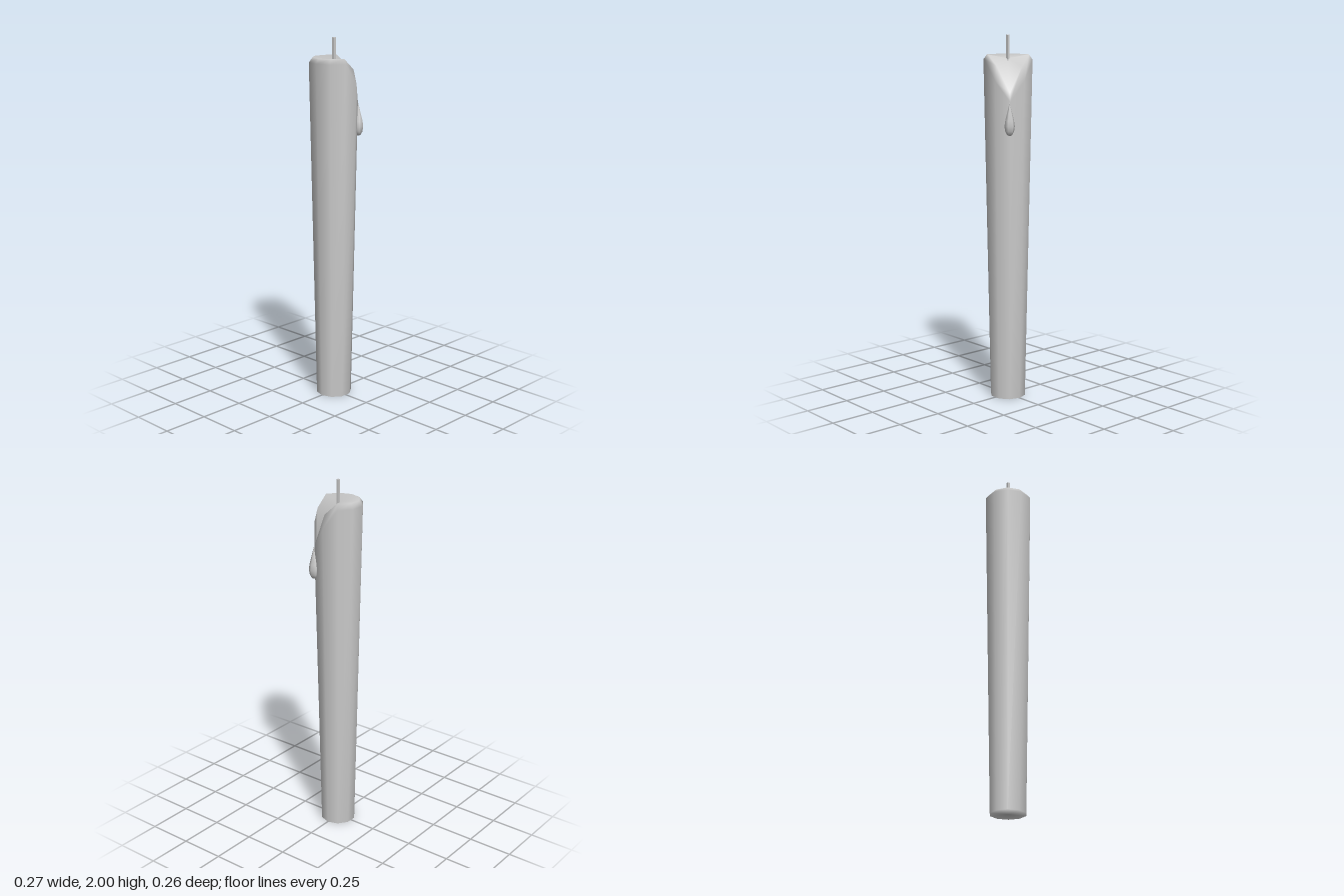
import * as THREE from 'three';

const SIDES = 10;
const wax = new THREE.MeshStandardMaterial({ color: 0xcccccc });

// Tapered ten-sided body with a bevelled rim that dips into a notch at one corner
function candleGeometry() {
  const drop = (i, depths) => depths[Math.min(Math.abs(i - 1), SIDES - Math.abs(i - 1))] || 0;
  const rings = [
    { r: () => 0.098, y: () => 0 },
    { r: (i) => 0.098 + 0.037 * (1.87 - drop(i, [0.22, 0.11])) / 1.87, y: (i) => 1.87 - drop(i, [0.22, 0.11]) },
    { r: () => 0.115, y: (i) => 1.897 - drop(i, [0.2, 0.06]) },
  ];
  const pos = [];
  for (const ring of rings) {
    for (let i = 0; i < SIDES; i++) {
      const a = (i / SIDES) * Math.PI * 2;
      pos.push(ring.r(i) * Math.cos(a), ring.y(i), ring.r(i) * Math.sin(a));
    }
  }
  const bottom = pos.length / 3, top = bottom + 1;
  pos.push(0, 0, 0, 0, 1.875, 0);

  const index = [];
  const last = (rings.length - 1) * SIDES;
  for (let i = 0; i < SIDES; i++) {
    const j = (i + 1) % SIDES;
    for (let k = 0; k < last; k += SIDES) {
      const a = k + i, b = k + j, c = a + SIDES, d = b + SIDES;
      index.push(b, a, c, b, c, d);
    }
    index.push(bottom, i, j, top, last + j, last + i);
  }
  const geo = new THREE.BufferGeometry();
  geo.setAttribute('position', new THREE.Float32BufferAttribute(pos, 3));
  geo.setIndex(index);
  geo.computeVertexNormals();
  return geo;
}

export function createModel() {
  const model = new THREE.Group();
  const add = (name, geo, x, y, z) => {
    const mesh = new THREE.Mesh(geo, wax);
    mesh.name = name;
    mesh.position.set(x, y, z);
    model.add(mesh);
    return mesh;
  };

  add('candleBody', candleGeometry(), 0, 0, 0);

  // Square wick standing in the hollow
  add('wick', new THREE.BoxGeometry(0.014, 0.135, 0.014), 0, 1.9325, 0);

  // Teardrop of wax running down below the notch
  const profile = [[0, 0], [0.014, 0.006], [0.024, 0.025], [0.028, 0.052], [0.024, 0.082], [0.014, 0.122], [0.005, 0.158], [0, 0.18]]
    .map(([r, y]) => new THREE.Vector2(r, y));
  add('waxDrop', new THREE.LatheGeometry(profile, 6, Math.PI / 2), 0.105, 1.47, 0.08);

  return model;
}
